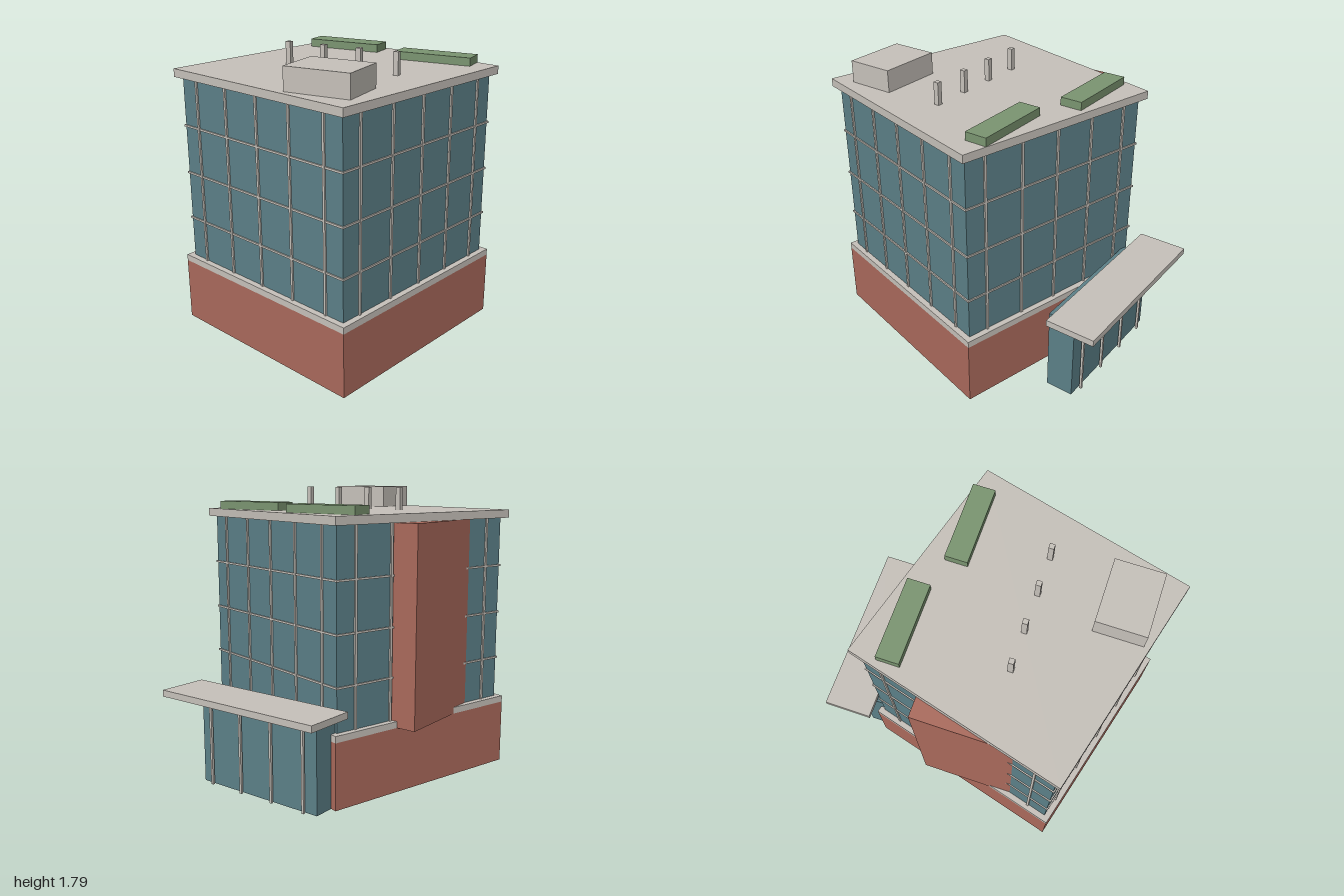
import * as THREE from 'three';

const paint = (name, color) => {
  const m = new THREE.MeshStandardMaterial({ color });
  m.name = name;
  return m;
};

export function createModel() {
  const brick = paint('brick', 0xa9695b);
  const glass = paint('glass', 0x5b7f87);
  const concrete = paint('concrete', 0xc5c0b9);
  const green = paint('planting', 0x7a9470);

  const model = new THREE.Group();
  model.name = 'officeBuilding';

  // Box given by its min and max on each axis
  const box = (parent, name, mat, [x0, x1], [y0, y1], [z0, z1]) => {
    const mesh = new THREE.Mesh(new THREE.BoxGeometry(x1 - x0, y1 - y0, z1 - z0), mat);
    mesh.position.set((x0 + x1) / 2, (y0 + y1) / 2, (z0 + z1) / 2);
    mesh.name = name;
    parent.add(mesh);
    return mesh;
  };
  const square = (parent, name, mat, half, y) => box(parent, name, mat, [-half, half], y, [-half, half]);

  // Main block, turned 15 degrees
  const block = new THREE.Group();
  block.name = 'mainBlock';
  block.position.z = 0.158;
  block.rotation.y = -Math.PI / 12;
  model.add(block);

  const outer = 0.687, inner = 0.65;
  square(block, 'podium', brick, outer, [0, 0.4]);
  square(block, 'podiumSlab', concrete, outer, [0.4, 0.44]);
  square(block, 'glassBody', glass, inner, [0.44, 1.6]);
  square(block, 'roofSlab', concrete, outer, [1.6, 1.65]);

  // Floor bands around the glass
  for (const y of [0.7, 1.0, 1.3]) square(block, 'floorBand', concrete, inner + 0.008, [y - 0.006, y + 0.006]);

  // Five mullions on each of the four faces
  for (let side = 0; side < 4; side++) {
    const face = new THREE.Group();
    face.name = 'mullions';
    face.rotation.y = side * Math.PI / 2;
    for (let i = -2; i <= 2; i++) {
      const x = i * 0.26;
      box(face, 'mullion', concrete, [x - 0.0075, x + 0.0075], [0.44, 1.6], [inner - 0.005, inner + 0.01]);
    }
    block.add(face);
  }

  // Stair tower breaking through the left-hand wall
  box(model, 'stairTower', brick, [-0.725, -0.35], [0.4, 1.6], [-0.245, 0.37]);

  // Entrance pavilion at the back
  const entrance = new THREE.Group();
  entrance.name = 'entrance';
  model.add(entrance);
  box(entrance, 'entranceGlass', glass, [-0.445, 0.445], [0, 0.54], [-0.8, -0.625]);
  box(entrance, 'canopy', concrete, [-0.575, 0.575], [0.56, 0.6], [-1, -0.688]);
  for (const x of [-0.36, -0.12, 0.12, 0.36])
    box(entrance, 'entrancePost', concrete, [x - 0.0075, x + 0.0075], [0, 0.54], [-0.825, -0.81]);

  // Roof equipment and planters
  box(model, 'plantRoom', concrete, [0.05, 0.447], [1.65, 1.787], [0.55, 0.847]);
  for (const x of [-0.307, -0.069, 0.169, 0.407])
    box(model, 'vent', concrete, [x - 0.016, x + 0.016], [1.65, 1.787], [0.184, 0.216]);
  box(model, 'planter', green, [-0.49, 0.005], [1.65, 1.7], [-0.515, -0.377]);
  box(model, 'planter', green, [0.2, 0.695], [1.65, 1.7], [-0.366, -0.228]);

  return model;
}
